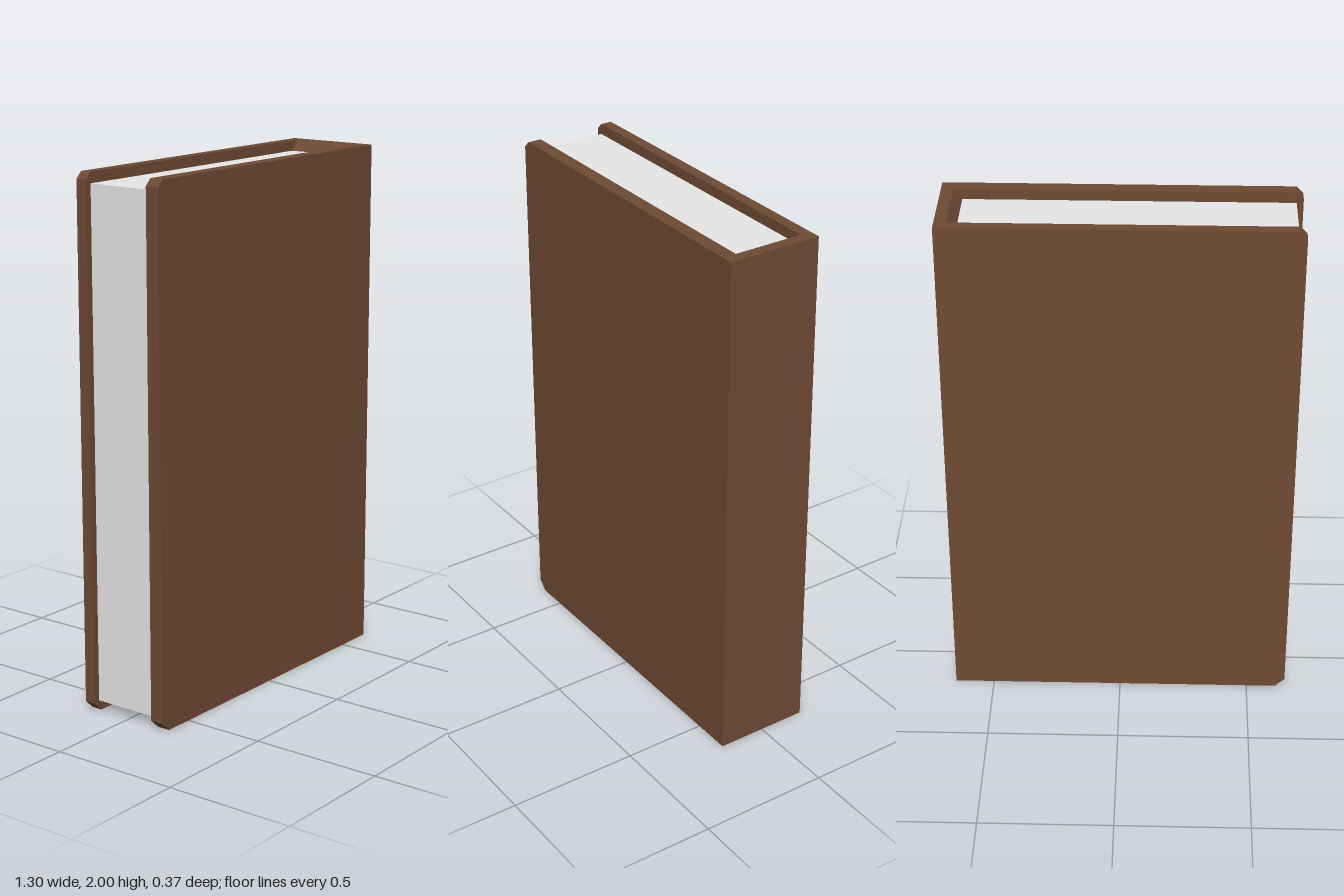
import * as THREE from 'three';

// Flat outline in x/y, extruded from z0 to z1
function slab(name, points, z0, z1, material) {
  const shape = new THREE.Shape(points.map(([x, y]) => new THREE.Vector2(x, y)));
  const geometry = new THREE.ExtrudeGeometry(shape, { depth: z1 - z0, bevelEnabled: false });
  geometry.translate(0, 0, z0);
  const mesh = new THREE.Mesh(geometry, material);
  mesh.name = name;
  return mesh;
}

export function createModel() {
  const leather = new THREE.MeshStandardMaterial({ color: 0x6e4a34 });
  leather.name = 'brown leather';
  const paper = new THREE.MeshStandardMaterial({ color: 0xe7e7e7 });
  paper.name = 'pale paper';

  const book = new THREE.Group();
  book.name = 'book';

  const right = 0.65, top = 2;
  const innerFront = 0.13, innerBack = -0.14;
  const recess = 0.04;      // pages sit below the cover edges
  const pageSpine = 0.575;

  // Cover boards with clipped corners at the opening side
  const board = [
    [-0.613, 0], [right, 0], [right, top],
    [-0.625, top], [-0.65, top - 0.025], [-0.65, 0.035],
  ];
  book.add(slab('frontCover', board, innerFront, 0.183, leather));
  book.add(slab('backCover', board, -0.183, innerBack, leather));

  // Spine, its inner edge sloping down to the pages at both ends
  book.add(slab('spine', [
    [0.605, 0], [right, 0], [right, top], [0.605, top],
    [pageSpine, top - recess], [pageSpine, recess],
  ], innerBack, innerFront, leather));

  // Page block
  const foreEdge = -0.625;
  const pages = new THREE.Mesh(
    new THREE.BoxGeometry(pageSpine - foreEdge, top - 2 * recess, innerFront - innerBack), paper);
  pages.position.set((pageSpine + foreEdge) / 2, top / 2, (innerFront + innerBack) / 2);
  pages.name = 'pages';
  book.add(pages);

  return book;
}
